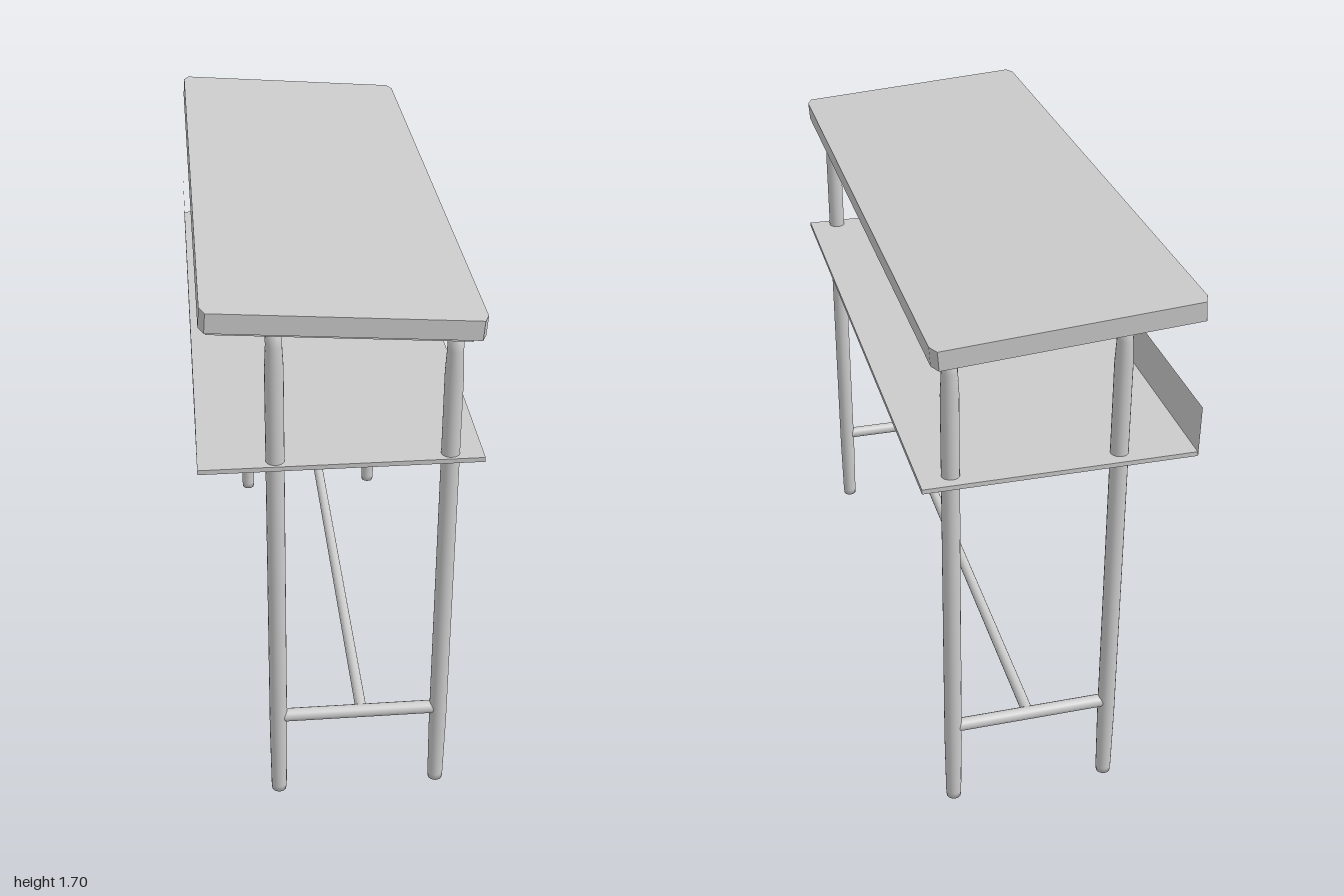
import * as THREE from 'three';

export function createModel() {
  const model = new THREE.Group();
  const grey = new THREE.MeshStandardMaterial({ color: 0xcccccc });
  const thin = new THREE.MeshStandardMaterial({ color: 0xcccccc, side: THREE.DoubleSide });

  const add = (parent, name, geometry, x, y, z, material = grey) => {
    const mesh = new THREE.Mesh(geometry, material);
    mesh.name = name;
    mesh.position.set(x, y, z);
    parent.add(mesh);
    return mesh;
  };

  // Slab with cut corners; its top face lies at local y = 0
  const slab = (hx, hz, cx, cz, thickness) => {
    const shape = new THREE.Shape([
      [-hx + cx, -hz], [hx - cx, -hz], [hx, -hz + cz], [hx, hz - cz],
      [hx - cx, hz], [-hx + cx, hz], [-hx, hz - cz], [-hx, -hz + cz],
    ].map(([x, z]) => new THREE.Vector2(x, z)));
    return new THREE.ExtrudeGeometry(shape, { depth: thickness, bevelEnabled: false })
      .rotateX(Math.PI / 2);
  };

  // Sloping top with a smaller board beneath it
  const top = new THREE.Group();
  top.name = 'slopingTop';
  top.position.set(0, 1.668, 0);
  top.rotation.z = -0.0725;
  add(top, 'tableTop', slab(0.381, 1, 0.015, 0.035, 0.057), 0, 0, 0);
  add(top, 'underBoard', new THREE.BoxGeometry(0.715, 0.034, 1.88), -0.002, -0.073, 0);
  model.add(top);

  // Shelf with a thin upright panel along one long edge
  add(model, 'shelf', new THREE.BoxGeometry(0.8, 0.014, 1.88), 0, 1.184, 0);
  const panelShape = new THREE.Shape([
    [-0.94, 1.185], [0.945, 1.185], [0.95, 1.34], [-0.95, 1.347],
  ].map(([x, y]) => new THREE.Vector2(x, y)));
  const panel = add(model, 'shelfBackPanel', new THREE.ShapeGeometry(panelShape), -0.399, 0, 0, thin);
  panel.rotation.y = Math.PI / 2;

  // Round legs, tapered slightly at foot and top
  const leg = (bottom, height) => new THREE.LatheGeometry([
    [0, bottom], [0.022, bottom], [0.0235, bottom + 0.02], [0.0265, 0.24],
    [0.0265, height - 0.12], [0.023, height - 0.05], [0.023, height], [0, height],
  ].map(([r, y]) => new THREE.Vector2(r, y)), 20);
  const ends = [['front', 0.905], ['back', -0.885]];
  for (const [side, z] of ends) {
    add(model, side + 'RightLeg', leg(0, 1.6), -0.184, 0, z);
    add(model, side + 'LeftLeg', leg(0.008, 1.565), 0.307, 0, z);
    const bar = add(model, side + 'CrossBar', new THREE.CylinderGeometry(0.02, 0.02, 0.48, 16), 0.062, 0.287, z);
    bar.rotation.z = Math.PI / 2;
  }

  // Long stretcher joining the two cross bars
  const stretcher = add(model, 'longStretcher', new THREE.CylinderGeometry(0.017, 0.017, 1.78, 16), 0.07, 0.288, 0.01);
  stretcher.rotation.x = Math.PI / 2;

  return model;
}
